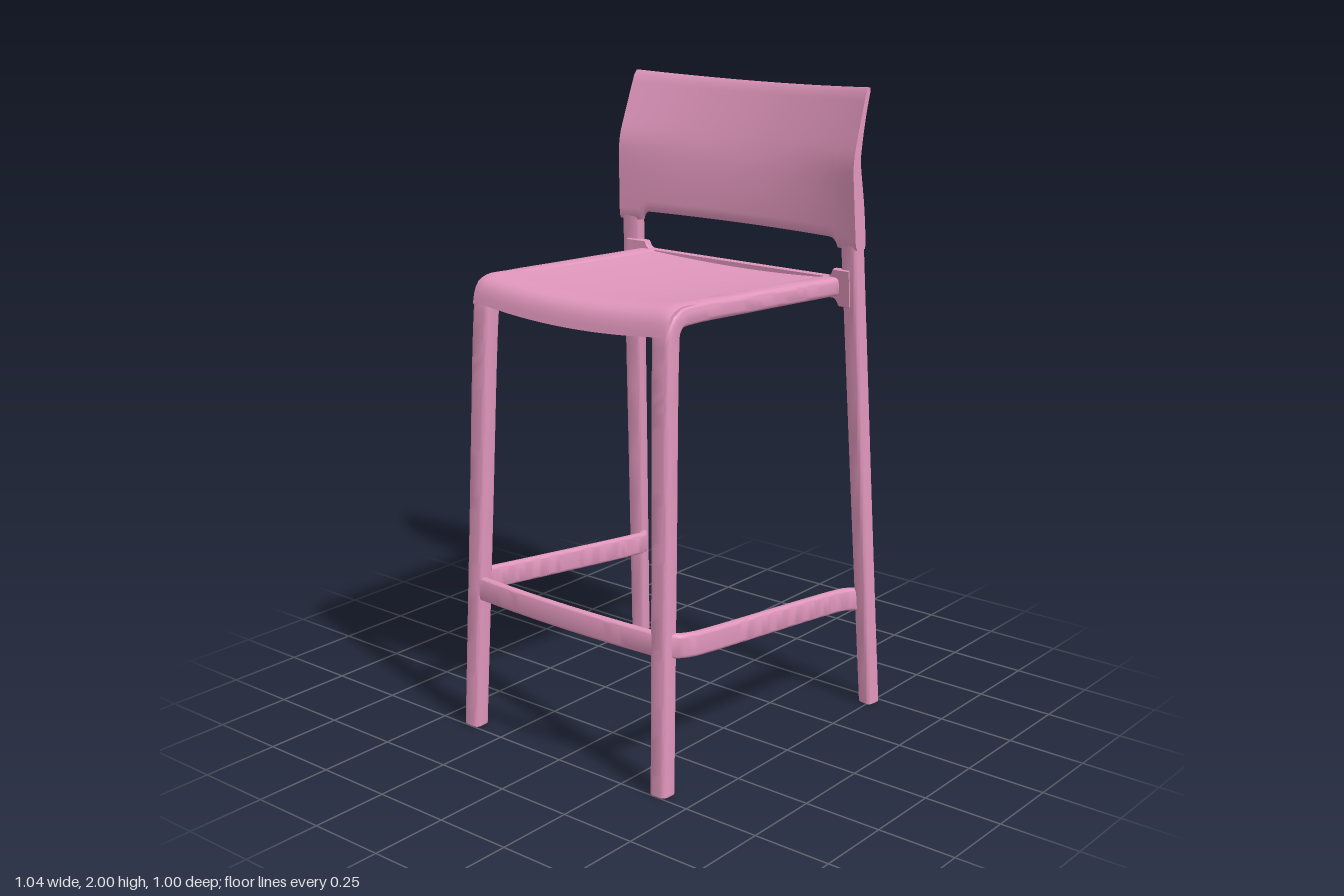
import * as THREE from 'three';
import { toCreasedNormals } from 'three/addons/utils/BufferGeometryUtils.js';

const V = (x, y, z) => new THREE.Vector3(x, y, z);
const { lerp, smoothstep, clamp } = THREE.MathUtils;

// Closed solid through equal-length rings; point i faces point n-1-i in the caps.
function loft(rings) {
  const n = rings[0].length, last = rings.length - 1, pos = [], idx = [];
  rings.forEach(r => r.forEach(p => pos.push(p.x, p.y, p.z)));
  const quad = (a, b, c, d) => idx.push(a, b, c, a, c, d);
  for (let k = 0; k < last; k++)
    for (let i = 0; i < n; i++) {
      const j = (i + 1) % n;
      quad(k * n + i, k * n + j, (k + 1) * n + j, (k + 1) * n + i);
    }
  const o = last * n;
  for (let i = 0; i < n / 2 - 1; i++) {
    quad(i, n - 1 - i, n - 2 - i, i + 1);
    quad(o + i, o + i + 1, o + n - 2 - i, o + n - 1 - i);
  }
  // turn the faces outward if the enclosed volume is negative
  const p = i => V(pos[3 * i], pos[3 * i + 1], pos[3 * i + 2]);
  let vol = 0;
  for (let i = 0; i < idx.length; i += 3) vol += p(idx[i]).dot(p(idx[i + 1]).cross(p(idx[i + 2])));
  if (vol < 0) idx.reverse();
  const g = new THREE.BufferGeometry();
  g.setAttribute('position', new THREE.Float32BufferAttribute(pos, 3));
  g.setIndex(idx);
  return toCreasedNormals(g, 0.7);
}

// Rounded rectangle outline
function section(w, d, r) {
  const pts = [];
  [[1, 1], [-1, 1], [-1, -1], [1, -1]].forEach(([sx, sy], q) => {
    for (let k = 0; k <= 4; k++) {
      const a = (q + k / 4) * Math.PI / 2;
      pts.push([sx * (w / 2 - r) + r * Math.cos(a), sy * (d / 2 - r) + r * Math.sin(a)]);
    }
  });
  return pts;
}

// Rounded bar along a curve; 'axis' is the direction its width follows
function bar(points, axis, size, r, steps) {
  const curve = new THREE.CatmullRomCurve3(points, false, 'centripetal');
  const rings = [];
  for (let k = 0; k <= steps; k++) {
    const c = curve.getPointAt(k / steps), t = curve.getTangentAt(k / steps);
    const w = axis.clone().addScaledVector(t, -axis.dot(t)).normalize();
    const d = t.clone().cross(w);
    const [sw, sd] = size(k / steps);
    rings.push(section(sw, sd, r).map(([a, b]) => {
      const p = c.clone().addScaledVector(w, a).addScaledVector(d, b);
      p.y = Math.max(0, p.y);
      return p;
    }));
  }
  return loft(rings);
}

// Smooth heights-to-depth lookup for the back's front face
function profile(pts) {
  const c = new THREE.SplineCurve(pts.map(p => new THREE.Vector2(...p)));
  const s = c.getPoints(120);
  return y => {
    let i = 1;
    while (i < s.length - 1 && s[i].x < y) i++;
    return lerp(s[i - 1].y, s[i].y, clamp((y - s[i - 1].x) / (s[i].x - s[i - 1].x), 0, 1));
  };
}
const backCentre = profile([[1.33, -0.396], [1.42, -0.392], [1.55, -0.384], [1.68, -0.391], [1.8, -0.414], [2.01, -0.481]]);
const backEdge = profile([[1.33, -0.359], [1.55, -0.345], [1.72, -0.336], [1.77, -0.336], [1.82, -0.346], [2.01, -0.413]]);

// Quarter-round where an opening meets the upright at |x| = edge
function fillet(x, edge, r) {
  const d = clamp(Math.abs(x) - (edge - r), 0, r);
  return r - Math.sqrt(r * r - d * d);
}

// Curved slab of the back between the heights low(x) and high(x)
function backSlab(halfWidth, low, high, thick) {
  const rings = [], vs = [0, 0.008, 0.03];
  for (let j = 1; j < 20; j++) vs.push(lerp(0.03, 0.97, j / 20));
  vs.push(0.97, 0.992, 1);
  for (let k = 0; k <= 120; k++) {
    const u = k / 60 - 1, front = [], back = [];
    vs.forEach(v => {
      const x0 = u * 0.465, y = lerp(low(x0), high(x0), v), x = u * halfWidth(y);
      const z = lerp(backCentre(y), backEdge(y), u * u);
      const t = thick(u, y), trim = Math.max(0, 0.006 * (1 - Math.min(v, 1 - v) / 0.03));
      front.push(V(x, y, z - trim));
      back.push(V(x, y, z - t + trim));
    });
    rings.push([...front, ...back.reverse()]);
  }
  return loft(rings);
}

// Thin seat shell, sagging across and rolling over the front edge
function seatGeometry() {
  const top = new THREE.SplineCurve([[-0.365, 1.42], [-0.1, 1.432], [0.2, 1.448], [0.34, 1.458], [0.385, 1.456],
    [0.42, 1.441], [0.437, 1.412], [0.445, 1.376]].map(p => new THREE.Vector2(...p)));
  const N = 48, rings = [];
  for (let k = 0; k <= 48; k++) {
    const u = k / 24 - 1, bow = 1 - u * u, outer = [], inner = [];
    for (let i = 0; i <= N; i++) {
      const p = top.getPointAt(i / N), t = top.getTangentAt(i / N);
      const place = (z, y) => V(u * lerp(0.39, 0.376, smoothstep(z, -0.4, 0.4)),
        y - 0.022 * bow - 0.008 * u ** 30,
        z + bow * (0.014 * smoothstep(z, 0.1, 0.42) - 0.03 * (1 - smoothstep(z, -0.4, -0.1))));
      outer.push(place(p.x, p.y));
      inner.push(place(p.x + t.y * 0.026, p.y - t.x * 0.026));
    }
    rings.push([...outer, ...inner.reverse()]);
  }
  return loft(rings);
}

export function createModel() {
  const model = new THREE.Group();
  model.name = 'barStool';
  const material = new THREE.MeshStandardMaterial({ color: 0xe096bc });
  const add = (name, geometry) => {
    const mesh = new THREE.Mesh(geometry, material);
    mesh.name = name;
    model.add(mesh);
  };

  add('seat', seatGeometry());

  // Backrest panel, thick where it grows out of the legs
  add('backrest', backSlab(y => lerp(0.473, 0.455, (y - 1.5) / 0.5),
    x => 1.545 - fillet(x, 0.385, 0.03),
    x => 1.985 + 0.015 * (x / 0.465) ** 2,
    (u, y) => 0.022 + 0.032 * smoothstep(Math.abs(u), 0.78, 0.97) * (1 - smoothstep(y, 1.6, 1.97))));

  // Rail below the slot, behind the seat
  add('backRail', backSlab(() => 0.445,
    x => 1.345 + 0.012 * (x / 0.465) ** 2 - fillet(x, 0.415, 0.025),
    x => 1.415 + 0.01 * (x / 0.465) ** 2 + fillet(x, 0.395, 0.025),
    () => 0.028));

  for (const s of [1, -1]) {
    const side = s > 0 ? 'left' : 'right';

    // Front leg bending over into the rail under the seat edge
    add(side + 'FrontLegAndSeatRail', bar([
      V(s * 0.386, 0, 0.47), V(s * 0.368, 0.7, 0.441), V(s * 0.352, 1.32, 0.415), V(s * 0.35, 1.385, 0.407),
      V(s * 0.35, 1.415, 0.38), V(s * 0.351, 1.42, 0.33), V(s * 0.358, 1.41, 0.05), V(s * 0.37, 1.391, -0.385),
    ], V(1, 0, 0), t => [lerp(0.06, 0.068, Math.min(1, t * 1.6)), 0.058], 0.016, 90));

    // Back leg, turned to follow the curve of the back
    add(side + 'BackLeg', bar([V(s * 0.49, 0, -0.47), V(s * 0.464, 0.75, -0.425), V(s * 0.436, 1.6, -0.374)],
      V(Math.cos(0.2), 0, s * Math.sin(0.2)), t => [lerp(0.053, 0.064, t), lerp(0.053, 0.05, t)], 0.014, 12));

    // Sloping side footrest, curved into both legs
    add(side + 'FootRail', bar([
      V(s * 0.378, 0.466, 0.452), V(s * 0.408, 0.463, 0.432), V(s * 0.424, 0.458, 0.39), V(s * 0.426, 0.448, 0.32),
      V(s * 0.426, 0.365, -0.37), V(s * 0.433, 0.359, -0.415), V(s * 0.462, 0.356, -0.447),
    ], V(0, 1, 0), () => [0.074, 0.029], 0.011, 48));
  }

  // Bowed front footrest
  add('frontFootRail', bar([V(-0.375, 0.464, 0.46), V(-0.2, 0.467, 0.475), V(0, 0.468, 0.481), V(0.2, 0.467, 0.475),
    V(0.375, 0.464, 0.46)], V(0, 1, 0), () => [0.075, 0.029], 0.011, 32));

  return model;
}
